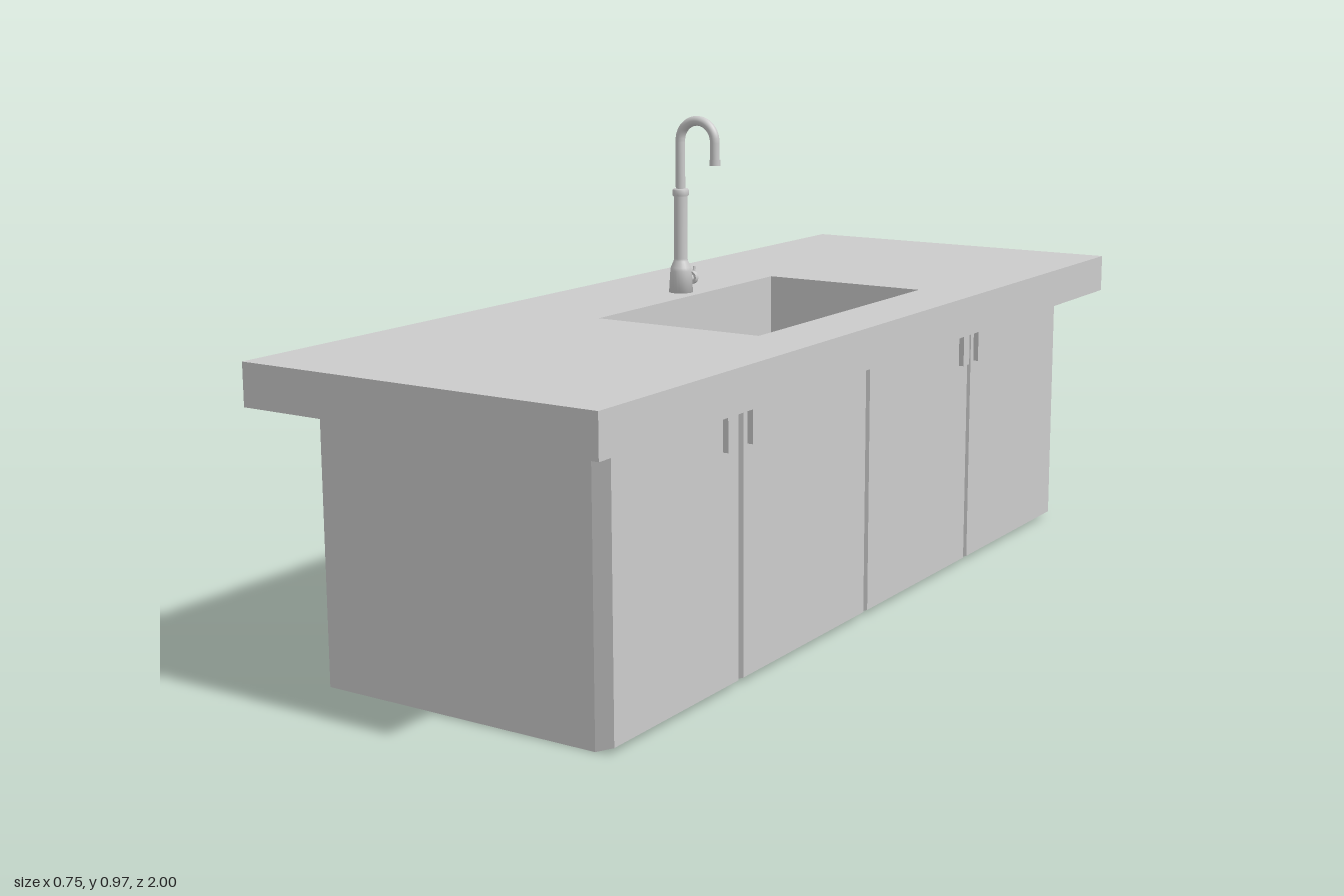
import * as THREE from 'three';

const material = new THREE.MeshStandardMaterial({ color: 0xcccccc });

function add(parent, name, geometry, x = 0, y = 0, z = 0) {
  const mesh = new THREE.Mesh(geometry, material);
  mesh.name = name;
  mesh.position.set(x, y, z);
  parent.add(mesh);
  return mesh;
}

// Rectangle [x0, x1, z0, z1] traced in the shape plane, where shape y = -z
function trace(path, [x0, x1, z0, z1]) {
  path.moveTo(x0, -z1);
  path.lineTo(x1, -z1);
  path.lineTo(x1, -z0);
  path.lineTo(x0, -z0);
  path.closePath();
  return path;
}

// Upright slab with a rectangular opening
function frame(outer, inner, y0, y1) {
  const shape = trace(new THREE.Shape(), outer);
  shape.holes.push(trace(new THREE.Path(), inner));
  const geometry = new THREE.ExtrudeGeometry(shape, { depth: y1 - y0, bevelEnabled: false });
  return geometry.rotateX(-Math.PI / 2).translate(0, y0, 0);
}

// Door panel whose outer face is slightly inset, giving sloped edges
function doorGeometry(width, height, depth, inset) {
  const geometry = new THREE.BoxGeometry(depth, height, width);
  const p = geometry.attributes.position;
  for (let i = 0; i < p.count; i++) {
    if (p.getX(i) < 0) continue;
    p.setZ(i, p.getZ(i) - Math.sign(p.getZ(i)) * inset);
    if (p.getY(i) < 0) p.setY(i, p.getY(i) + inset * 1.4);
  }
  geometry.computeVertexNormals();
  return geometry.toNonIndexed();
}

function createFaucet() {
  const faucet = new THREE.Group();
  faucet.name = 'faucet';
  // Turned base, stem and collar
  const profile = [
    [0, 0], [0.025, 0], [0.022, 0.045], [0.021, 0.052], [0.015, 0.065], [0.014, 0.07],
    [0.014, 0.198], [0.017, 0.201], [0.017, 0.212], [0.014, 0.215], [0, 0.215],
  ].map(([r, y]) => new THREE.Vector2(r, y));
  add(faucet, 'faucetStem', new THREE.LatheGeometry(profile, 24));

  // Gooseneck spout
  const bend = 0.042, springY = 0.313, tipY = 0.275;
  const path = new THREE.CurvePath();
  const points = [];
  for (let i = 0; i <= 12; i++) {
    const a = Math.PI * (1 - i / 12);
    points.push(new THREE.Vector3(bend + bend * Math.cos(a), springY + bend * Math.sin(a), 0));
  }
  path.add(new THREE.LineCurve3(new THREE.Vector3(0, 0.21, 0), points[0]));
  path.add(new THREE.CatmullRomCurve3(points));
  path.add(new THREE.LineCurve3(points[12], new THREE.Vector3(bend * 2, tipY, 0)));
  add(faucet, 'spout', new THREE.TubeGeometry(path, 60, 0.01, 16));
  add(faucet, 'spoutTip', new THREE.CylinderGeometry(0.0115, 0.0115, 0.012, 16), bend * 2, tipY - 0.003, 0);

  // Side valve and lever
  const valve = new THREE.CylinderGeometry(0.009, 0.009, 0.035, 16).rotateX(Math.PI / 2);
  add(faucet, 'valve', valve, 0, 0.025, -0.03);
  const knob = new THREE.CylinderGeometry(0.014, 0.014, 0.01, 16).rotateX(Math.PI / 2);
  add(faucet, 'valveKnob', knob, 0, 0.025, -0.04);
  const lever = new THREE.CylinderGeometry(0.003, 0.004, 0.035, 10);
  add(faucet, 'lever', lever, 0, 0.03, -0.048).rotation.x = -0.2;
  return faucet;
}

export function createModel() {
  const model = new THREE.Group();
  model.name = 'kitchenIsland';

  const counter = [-0.375, 0.375, -1, 1];
  const sink = [-0.115, 0.245, -0.32, 0.32];
  const body = [-0.305, 0.28, -0.88, 0.89];
  const slabY = 0.575, topY = 0.605, rimY = 0.525, lip = 0.003;

  // Countertop with a thin hanging edge all round
  add(model, 'countertop', frame(counter, sink, slabY, topY));
  add(model, 'countertopEdge', frame(counter,
    [counter[0] + lip, counter[1] - lip, counter[2] + lip, counter[3] - lip], rimY, slabY));

  // Cabinet, its opening forming the sink walls
  add(model, 'cabinet', frame(body, sink, 0.02, slabY));
  add(model, 'cabinetBase', new THREE.BoxGeometry(0.585, 0.02, 1.77), -0.0125, 0.01, 0.005);
  add(model, 'sinkFloor', new THREE.BoxGeometry(0.36, 0.02, 0.64), 0.065, 0.405, 0);

  // Four doors along the right-hand long side
  const seams = [0.89, 0.49, 0.024, -0.426, -0.88];
  for (let i = 0; i < 4; i++) {
    const width = seams[i] - seams[i + 1];
    add(model, 'door', doorGeometry(width, slabY, 0.033, 0.008),
      0.2965, slabY / 2, (seams[i] + seams[i + 1]) / 2);
  }

  // Door handles in pairs
  for (const z of [0.536, 0.455, -0.391, -0.461]) {
    add(model, 'handle', new THREE.BoxGeometry(0.012, 0.068, 0.027), 0.318, 0.475, z);
  }

  const faucet = createFaucet();
  faucet.position.set(-0.162, topY, -0.036);
  model.add(faucet);
  return model;
}
